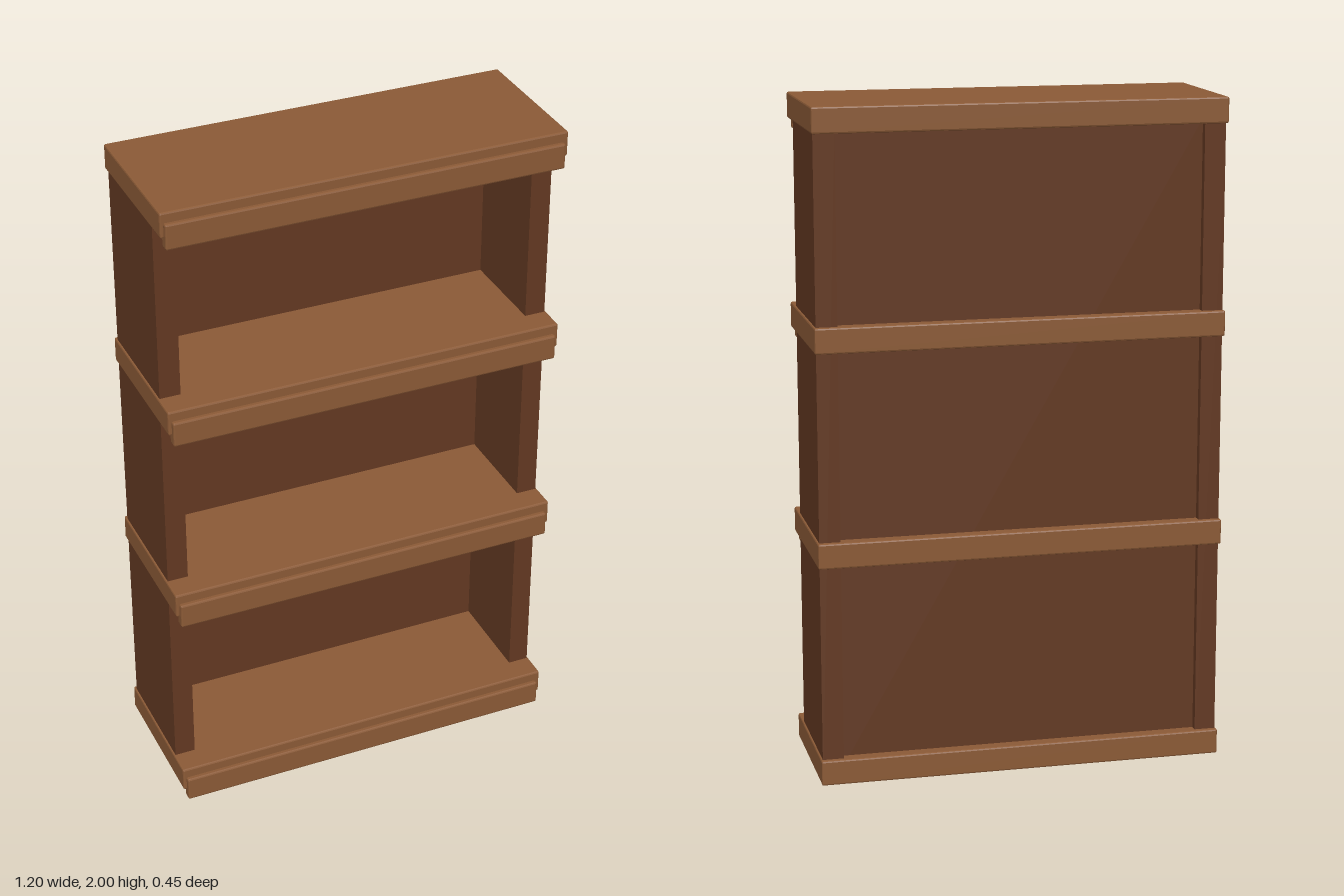
import * as THREE from 'three';
import { RoundedBoxGeometry } from 'three/addons/geometries/RoundedBoxGeometry.js';

export function createModel() {
  const group = new THREE.Group();
  const lightWood = new THREE.MeshStandardMaterial({ color: 0x8b5a36 });
  lightWood.name = 'lightWood';
  const darkWood = new THREE.MeshStandardMaterial({ color: 0x633922 });
  darkWood.name = 'darkWood';

  // Box given by its extents, with an optional small flat chamfer
  function board(name, material, [x0, x1], [y0, y1], [z0, z1], chamfer = 0) {
    const size = [x1 - x0, y1 - y0, z1 - z0];
    const geometry = chamfer
      ? new RoundedBoxGeometry(...size, 1, chamfer)
      : new THREE.BoxGeometry(...size);
    if (chamfer) geometry.computeVertexNormals();
    const mesh = new THREE.Mesh(geometry, material);
    mesh.name = name;
    mesh.position.set((x0 + x1) / 2, (y0 + y1) / 2, (z0 + z1) / 2);
    group.add(mesh);
  }

  // Four overhanging shelves, each with a lower front lip
  for (const top of [0.108, 0.76, 1.384, 2]) {
    board('shelf', lightWood, [-0.6, 0.6], [top - 0.075, top], [-0.227, 0.213], 0.005);
    board('shelfLip', lightWood, [-0.59, 0.587], [top - 0.106, top - 0.03], [0.196, 0.227], 0.005);
  }

  // Upright sides
  board('leftSide', darkWood, [0.533, 0.595], [0.03, 1.95], [-0.212, 0.135]);
  board('rightSide', darkWood, [-0.595, -0.533], [0.03, 1.95], [-0.212, 0.135]);

  // Recessed back panel
  board('backPanel', darkWood, [-0.54, 0.54], [0.06, 1.95], [-0.19, -0.16]);

  return group;
}
